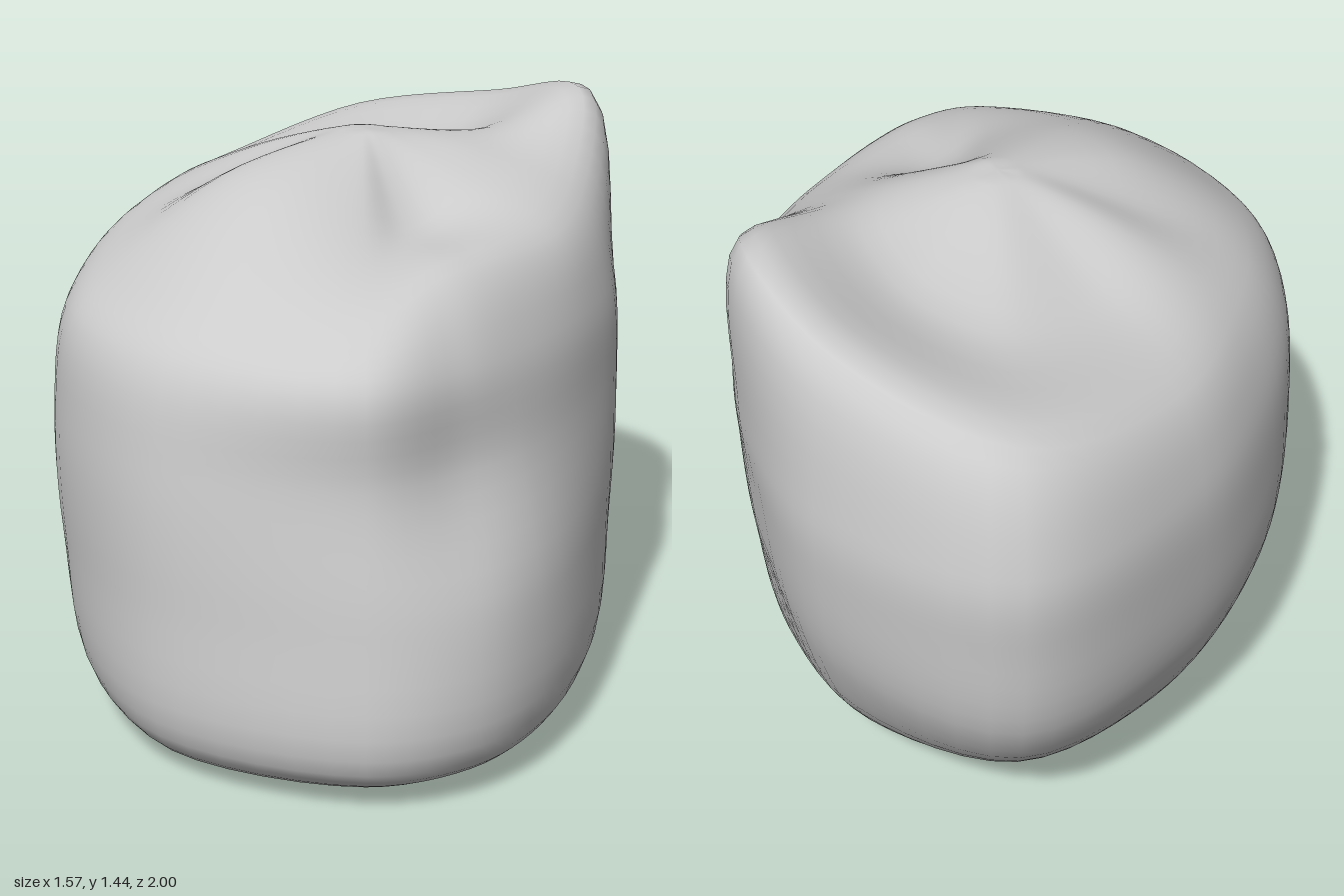
import * as THREE from 'three';

const CROWN = 1.4;
const ROWS = 54;
const COLS = 78;
const LEVELS = [.01, .11, .45, .77, 1]; // heights shared by the side walls

// One upright profile at an angle that starts at +x and turns toward +z:
// wall radii at the shared levels, then the rim and the height of the top inside it.
function meridian(degrees, radii, rimRadius, rimHeight, innerHeight) {
  const a = THREE.MathUtils.degToRad(degrees);
  const profile = [
    [0, 0],
    ...radii.map((r, i) => [r, LEVELS[i]]),
    [rimRadius, rimHeight],
    [rimRadius * .55, innerHeight],
    [.07, CROWN - .006],
    [0, CROWN],
  ];
  return new THREE.CatmullRomCurve3(
    profile.map(([r, y]) => new THREE.Vector3(r * Math.cos(a), y, r * Math.sin(a))));
}

// Skin the profiles: splines up each profile, then closed splines around each row.
function boulderGeometry() {
  const meridians = [
    // right side with the overhanging lip and the hollow below it
    meridian(0, [.50, .67, .69, .66, .635], .55, 1.19, 1.30),
    meridian(30, [.68, .87, .88, .78, .73], .60, 1.19, 1.23),
    meridian(45, [.80, 1, 1, .87, .84], .68, 1.18, 1.22),
    meridian(60, [.87, 1.05, 1.04, .98, .97], .82, 1.12, 1.24),
    // front
    meridian(90, [.84, .97, .985, .965, .91], .76, 1.13, 1.31),
    meridian(120, [.62, .80, .855, .86, .82], .71, 1.11, 1.32),
    // left side
    meridian(150, [.40, .64, .755, .77, .74], .64, 1.14, 1.28),
    meridian(180, [.38, .60, .76, .775, .74], .64, 1.16, 1.31),
    meridian(210, [.38, .65, .85, .89, .87], .77, 1.18, 1.26),
    // back with its raised rim and peak
    meridian(240, [.42, .73, 1.03, 1.09, 1.09], .96, 1.27, 1.27),
    meridian(270, [.42, .68, .87, .93, .93], .82, 1.36, 1.29),
    meridian(300, [.42, .61, .70, .735, .75], .71, 1.43, 1.36),
    meridian(330, [.44, .60, .66, .67, .655], .57, 1.25, 1.35),
  ];

  const positions = [0, 0, 0];
  for (let j = 1; j < ROWS; j++) {
    const ring = new THREE.CatmullRomCurve3(meridians.map((m) => m.getPoint(j / ROWS)), true);
    for (let i = 0; i < COLS; i++) {
      const p = ring.getPoint(i / COLS);
      positions.push(p.x, Math.max(0, p.y), p.z);
    }
  }
  positions.push(0, CROWN, 0);

  const top = positions.length / 3 - 1;
  const at = (j, i) => 1 + (j - 1) * COLS + (i % COLS);
  const index = [];
  for (let i = 0; i < COLS; i++) {
    index.push(0, at(1, i), at(1, i + 1));
    for (let j = 1; j < ROWS - 1; j++) {
      const a = at(j, i), b = at(j, i + 1), c = at(j + 1, i + 1), d = at(j + 1, i);
      index.push(a, d, c, a, c, b);
    }
    index.push(top, at(ROWS - 1, i + 1), at(ROWS - 1, i));
  }

  const geometry = new THREE.BufferGeometry();
  geometry.setAttribute('position', new THREE.Float32BufferAttribute(positions, 3));
  geometry.setIndex(index);
  geometry.computeVertexNormals();
  return geometry;
}

export function createModel() {
  const model = new THREE.Group();
  model.name = 'rock';
  const boulder = new THREE.Mesh(
    boulderGeometry(), new THREE.MeshStandardMaterial({ color: 0xcccccc }));
  boulder.name = 'boulder';
  model.add(boulder);
  return model;
}
